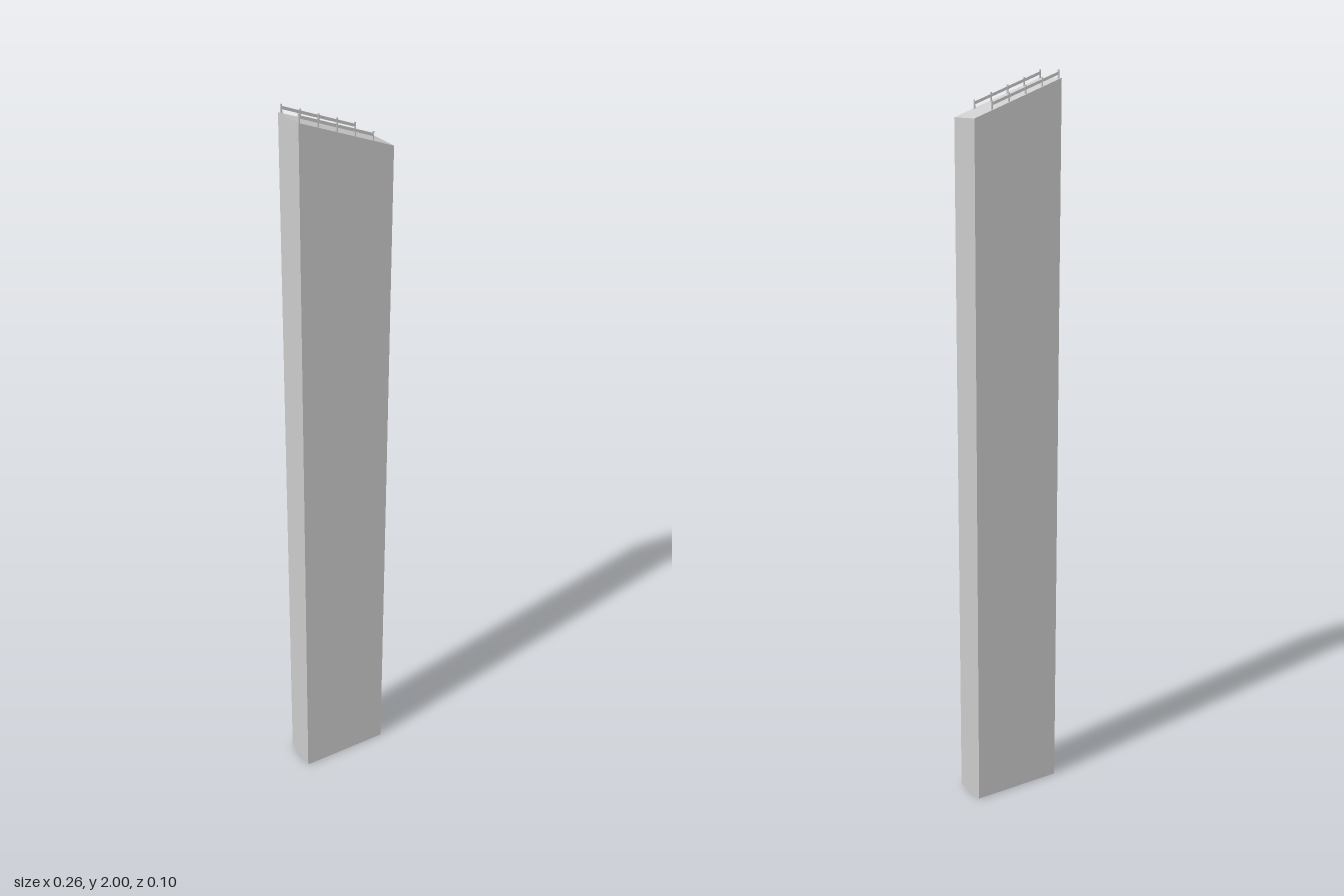
import * as THREE from 'three';

export function createModel() {
  const model = new THREE.Group();
  const material = new THREE.MeshStandardMaterial({ color: 0xcccccc, flatShading: true });
  const add = (name, geometry, parent, x = 0, y = 0, z = 0) => {
    const mesh = new THREE.Mesh(geometry, material);
    mesh.name = name;
    mesh.position.set(x, y, z);
    parent.add(mesh);
    return mesh;
  };

  const halfWidth = 0.13, depth = 0.098, highEdge = 1.98, lowEdge = 1.885;
  const slope = (lowEdge - highEdge) / (2 * halfWidth);
  const roofY = (x) => highEdge + slope * (x + halfWidth);

  // Tall slab with a slanted roof
  const outline = new THREE.Shape([
    new THREE.Vector2(-halfWidth, 0),
    new THREE.Vector2(halfWidth, 0),
    new THREE.Vector2(halfWidth, lowEdge),
    new THREE.Vector2(-halfWidth, highEdge),
  ]);
  const slab = new THREE.ExtrudeGeometry(outline, { depth, bevelEnabled: false });
  slab.translate(0, 0, -depth / 2);
  add('towerSlab', slab, model);

  // Railings along both long roof edges
  const firstX = -0.125, spacing = 0.05, posts = 5, postHeight = 0.024;
  const run = spacing * (posts - 1);
  const postGeometry = new THREE.CylinderGeometry(0.0025, 0.0025, postHeight, 8);
  const railGeometry = new THREE.BoxGeometry(run * Math.hypot(1, slope), 0.007, 0.004);
  for (const [name, z] of [['frontRailing', 0.042], ['backRailing', -0.042]]) {
    const railing = new THREE.Group();
    railing.name = name;
    for (let i = 0; i < posts; i++) {
      const x = firstX + i * spacing;
      add('railingPost', postGeometry, railing, x, roofY(x) + 0.022 - postHeight / 2, z);
    }
    const midX = firstX + run / 2;
    const rail = add('handrail', railGeometry, railing, midX, roofY(midX) + 0.014, z);
    rail.rotation.z = Math.atan(slope);
    model.add(railing);
  }
  return model;
}
